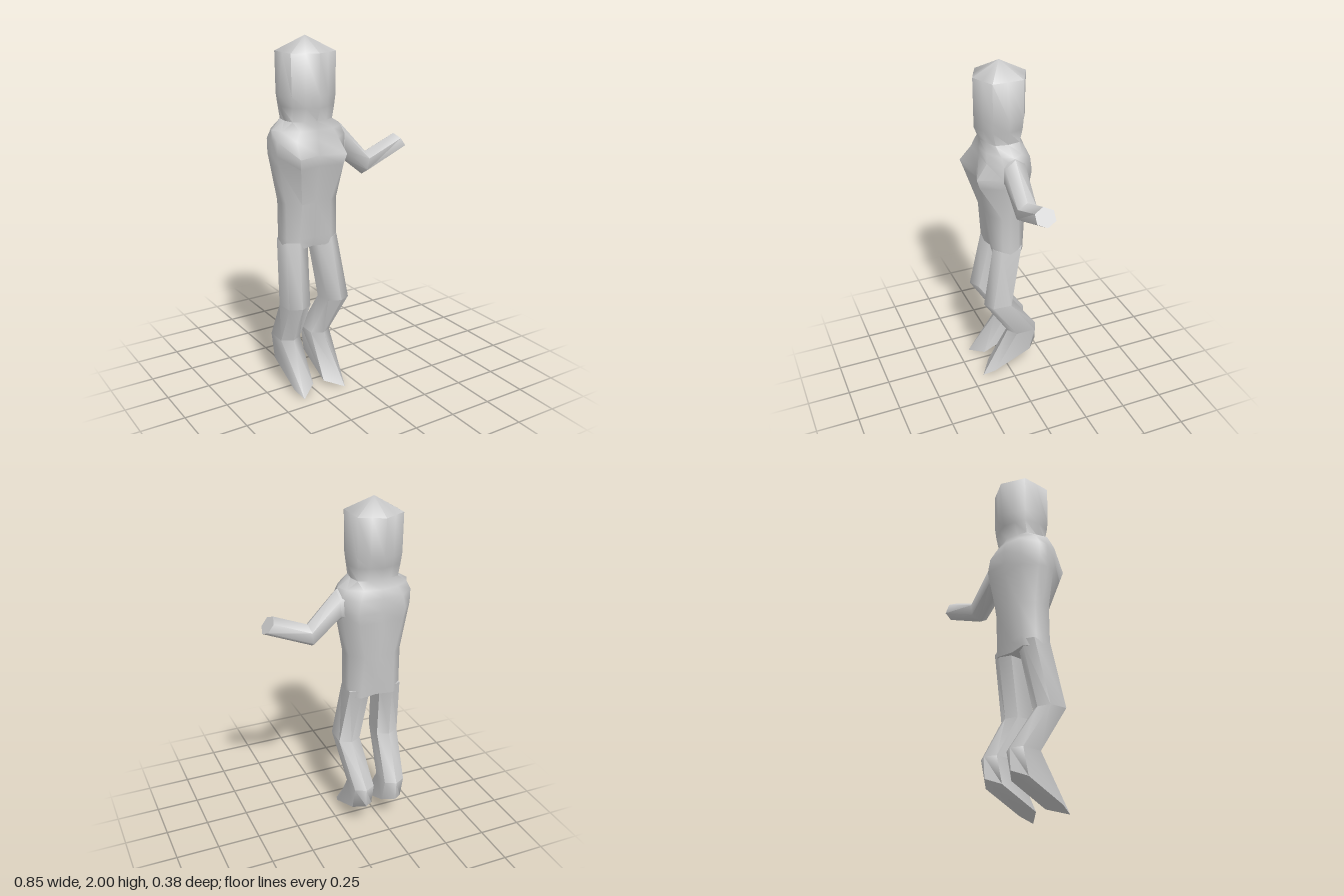
import * as THREE from 'three';
import { toCreasedNormals } from 'three/addons/utils/BufferGeometryUtils.js';

const material = new THREE.MeshStandardMaterial({ color: 0xcccccc });
const CENTRE = -0.22; // x of the body's middle

// Skin a list of equal rings of [x, y, z] and close both ends.
function loft(name, rings) {
  const n = rings[0].length, last = rings.length - 1;
  const points = rings.flat(), index = [];
  const middle = ring => [0, 1, 2].map(k => ring.reduce((sum, p) => sum + p[k], 0) / n);
  points.push(middle(rings[0]), middle(rings[last]));
  const start = points.length - 2, end = points.length - 1;
  for (let j = 0; j < n; j++) {
    const k = (j + 1) % n;
    for (let i = 0; i < last; i++) {
      const a = i * n + j, b = i * n + k;
      index.push(a, b, a + n, b, b + n, a + n);
    }
    index.push(start, k, j, end, last * n + j, last * n + k);
  }
  const geometry = new THREE.BufferGeometry();
  geometry.setAttribute('position', new THREE.Float32BufferAttribute(points.flat(), 3));
  geometry.setIndex(index);
  const mesh = new THREE.Mesh(toCreasedNormals(geometry, 1.1), material);
  mesh.name = name;
  return mesh;
}

// Twelve-sided body section: side middle m, side corner (w, s),
// front and back ridges at x = p, and centre line depths.
function bodyRing([y, m, w, s, p, ridge, front, ridgeBack, back]) {
  const half = [[p, ridge], [w, s], [m, 0], [w, -s], [p, ridgeBack]];
  return [
    [0, front], ...half, [0, back],
    ...half.slice().reverse().map(([x, z]) => [-x, z]),
  ].map(([x, z]) => [CENTRE + x, y, z]);
}

// Six-sided leg section with a front and a back point.
function legRing(side, [yF, zF, yB, zB, outer, inner, xF]) {
  const at = (x, t) => [CENTRE + side * x, yF + (yB - yF) * t, zF + (zB - zF) * t];
  const ring = [at(xF, 0), at(outer, 0.2), at(outer, 0.83),
    at((outer + inner) / 2, 1), at(inner, 0.83), at(inner, 0.2)];
  return side > 0 ? ring : ring.reverse();
}

// Six-sided arm section with a top and a bottom point.
function armRing([xT, yT, xB, yB, r]) {
  const at = (t, z) => [xT + (xB - xT) * t, yT + (yB - yT) * t, z - 0.005];
  return [at(0, 0), at(0.25, r), at(0.75, r), at(1, 0), at(0.75, -r), at(0.25, -r)];
}

export function createModel() {
  const model = new THREE.Group();
  model.name = 'figure';

  // Torso, neck and head in one skin, from the hips up
  model.add(loft('body', [
    [0.86, 0.16, 0.158, 0.05, 0.1, 0.088, 0.06, -0.097, -0.08],
    [0.92, 0.16, 0.158, 0.05, 0.1, 0.09, 0.08, -0.1, -0.09],
    [1.12, 0.16, 0.158, 0.05, 0.09, 0.105, 0.1, -0.115, -0.115],
    [1.33, 0.209, 0.195, 0.055, 0.13, 0.17, 0.135, -0.13, -0.13],
    [1.39, 0.209, 0.207, 0.055, 0.14, 0.19, 0.145, -0.135, -0.135],
    [1.47, 0.209, 0.207, 0.058, 0.125, 0.125, 0.125, -0.13, -0.137],
    [1.52, 0.209, 0.18, 0.06, 0.1, 0.115, 0.128, -0.11, -0.13],
    [1.565, 0.132, 0.12, 0.07, 0.065, 0.1, 0.12, -0.09, -0.11],
    [1.64, 0.148, 0.125, 0.085, 0.065, 0.12, 0.15, -0.11, -0.13],
    [1.7, 0.16, 0.132, 0.088, 0.067, 0.12, 0.15, -0.122, -0.15],
    [1.92, 0.135, 0.134, 0.088, 0.067, 0.12, 0.15, -0.122, -0.157],
    [2.0, 0.002, 0.002, 0.001, 0.001, 0.002, 0.002, -0.002, -0.002],
  ].map(bodyRing)));

  // Single bent arm: shoulder, elbow, wrist end
  model.add(loft('leftArm', [
    [-0.09, 1.54, -0.06, 1.29, 0.075],
    [0.0, 1.512, -0.012, 1.33, 0.06],
    [0.165, 1.335, 0.142, 1.205, 0.055],
    [0.36, 1.415, 0.425, 1.325, 0.053],
  ].map(armRing)));

  // Legs: slanted sole, ankle, knee, hip
  for (const side of [1, -1]) {
    model.add(loft(side > 0 ? 'leftLeg' : 'rightLeg', [
      [0, 0.18, 0.165, -0.187, 0.16, 0.035, 0.135],
      [0.28, 0.0, 0.28, -0.19, 0.16, 0.037, 0.1],
      [0.54, 0.16, 0.53, -0.022, 0.19, 0.058, 0.125],
      [0.9, 0.09, 0.9, -0.097, 0.158, 0.03, 0.1],
    ].map(row => legRing(side, row))));
  }
  return model;
}
